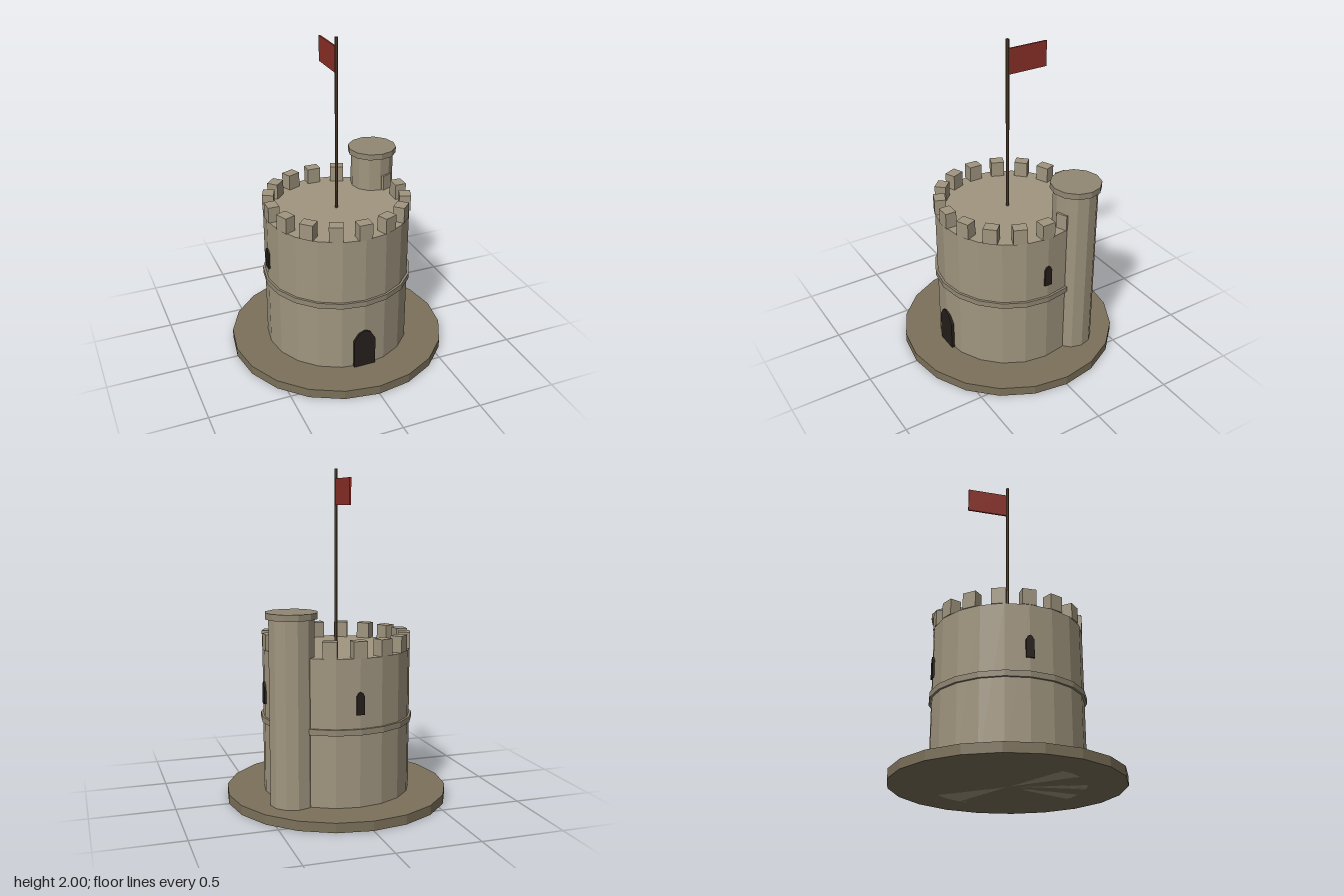
import * as THREE from 'three';

const mat = (color) => new THREE.MeshStandardMaterial({ color, flatShading: true });

export function createModel() {
  const root = new THREE.Group();
  root.name = 'castleTower';
  const stone = mat(0xa0957f), trim = mat(0x918773), earth = mat(0x7b705a);
  const dark = mat(0x261f1b), wood = mat(0x5a4632), cloth = mat(0x8d2f27);

  const add = (name, geometry, material, parent = root) => {
    const mesh = new THREE.Mesh(geometry, material);
    mesh.name = name;
    parent.add(mesh);
    return mesh;
  };

  // Faceted drum standing between two heights
  const drum = (name, r, y0, y1, sides, material, x = 0, z = 0) => {
    const mesh = add(name, new THREE.CylinderGeometry(r, r, y1 - y0, sides), material);
    mesh.position.set(x, (y0 + y1) / 2, z);
  };

  // Ground disc, keep and string course
  drum('groundDisc', 0.68, 0, 0.057, 20, earth);
  drum('keepWall', 0.451, 0, 0.931, 20, stone);
  drum('stringCourse', 0.465, 0.489, 0.524, 20, trim);

  // Stair turret with a projecting cap, set into the back left of the wall
  const tx = 0.35, tz = -0.254;
  drum('turretShaft', 0.135, 0, 1.15, 12, stone, tx, tz);
  drum('turretCap', 0.154, 1.15, 1.187, 12, trim, tx, tz);

  // Battlements, left out where the turret stands
  const battlements = new THREE.Group();
  battlements.name = 'battlements';
  root.add(battlements);
  const merlonGeometry = new THREE.BoxGeometry(0.084, 0.098, 0.07);
  for (let i = 0; i < 16; i++) {
    if (i === 6) continue;
    const t = (i * Math.PI) / 8;
    const merlon = add('merlon', merlonGeometry, stone, battlements);
    merlon.position.set(0.417 * Math.sin(t), 0.98, 0.417 * Math.cos(t));
    merlon.rotation.y = t;
  }

  // Arched panel, slightly proud of the wall, facing +z before it is turned
  const arch = (name, halfWidth, y0, spring, top, turn) => {
    const rise = top - spring;
    const shape = new THREE.Shape([
      [-halfWidth, y0], [halfWidth, y0], [halfWidth, spring],
      [halfWidth * 0.55, spring + rise * 0.72], [0, top],
      [-halfWidth * 0.55, spring + rise * 0.72], [-halfWidth, spring],
    ].map(([x, y]) => new THREE.Vector2(x, y)));
    const geometry = new THREE.ExtrudeGeometry(shape, { depth: 0.022, bevelEnabled: false });
    geometry.translate(0, 0, 0.437);
    add(name, geometry, dark).rotation.y = turn;
  };
  arch('door', 0.069, 0, 0.241, 0.312, 0);
  ['leftWindow', 'backWindow', 'rightWindow'].forEach((name, i) =>
    arch(name, 0.024, 0.606, 0.712, 0.741, ((i + 1) * Math.PI) / 2));

  // Flagpole and flag flying to the back
  drum('flagpole', 0.0105, 0.931, 2, 8, wood);
  add('flag', new THREE.BoxGeometry(0.011, 0.155, 0.255), cloth).position.set(0, 1.866, -0.135);

  return root;
}
